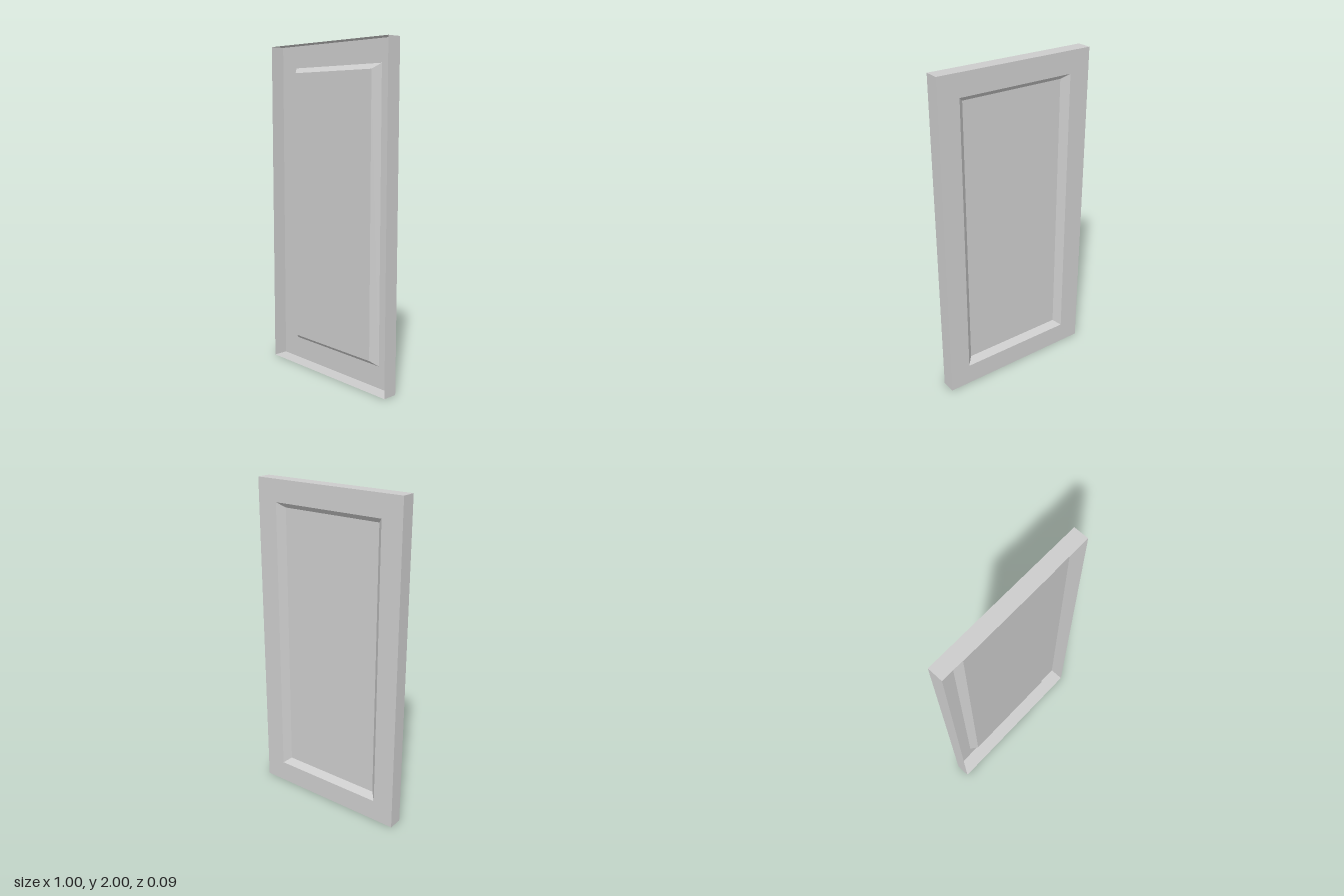
import * as THREE from 'three';

const H = 2, W = 1, BACK = -0.045, FRONT = 0.045, PANEL = -0.005;

// Rectangle centred on the door: half width, half height, depth
const rect = (hx, hy, z) => [[-1, -1], [1, -1], [1, 1], [-1, 1]]
  .map(([sx, sy]) => [sx * hx, H / 2 + sy * hy, z]);

// Flat-faced band of four quads joining two rectangles
function band(a, b) {
  const out = [];
  for (let i = 0; i < 4; i++) {
    const j = (i + 1) % 4;
    out.push(a[i], b[i], b[j], a[i], b[j], a[j]);
  }
  return out;
}

export function createModel() {
  const group = new THREE.Group();
  group.name = 'panelDoor';
  const material = new THREE.MeshStandardMaterial({
    color: 0xcccccc, flatShading: true, side: THREE.DoubleSide,
  });
  const add = (name, points) => {
    const geometry = new THREE.BufferGeometry();
    geometry.setAttribute('position', new THREE.Float32BufferAttribute(points.flat(), 3));
    geometry.computeVertexNormals();
    const mesh = new THREE.Mesh(geometry, material);
    mesh.name = name;
    group.add(mesh);
  };

  const rim = rect(W / 2, H / 2, FRONT);
  const back = rect(W / 2, H / 2, BACK);
  const opening = rect(0.368, 0.867, BACK);
  const panel = rect(0.328, 0.835, PANEL);

  // Thin shell, open at the front, with a panel pressed in from the back
  add('edgeWalls', band(rim, back));
  add('backFrame', band(back, opening));
  add('panelBevel', band(opening, panel));
  add('panel', [0, 2, 1, 0, 3, 2].map((i) => panel[i]));

  return group;
}
